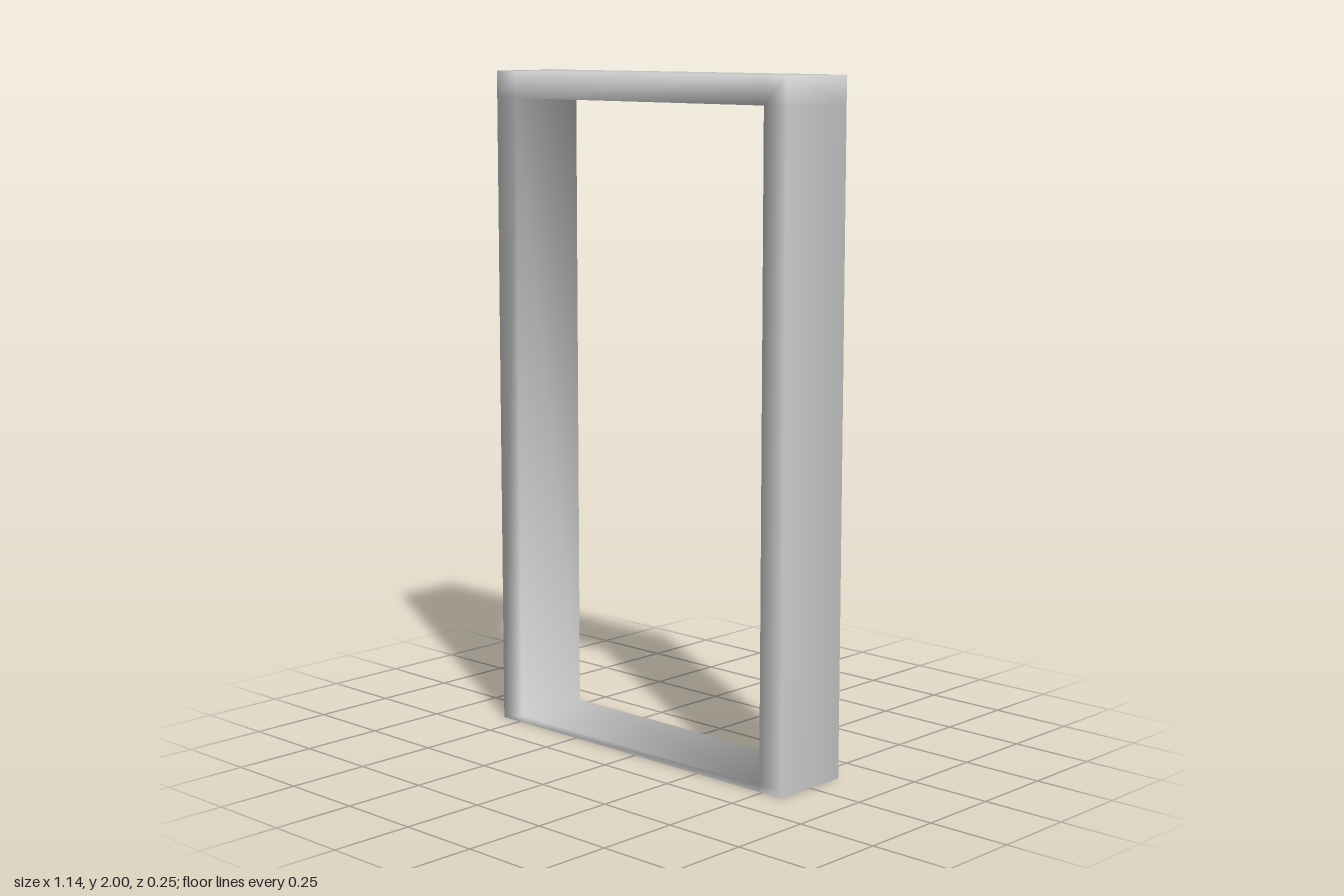
import * as THREE from 'three';

// Grid lines of the frame: jambs, header and thin sill surround the open middle cell
const LINES = [
  [-0.572, -0.49, 0.49, 0.572],
  [0, 0.02, 1.92, 2],
  [-0.125, 0.125],
];

const isSolid = ([i, j, k]) =>
  i >= 0 && i < 3 && j >= 0 && j < 3 && k === 0 && !(i === 1 && j === 1);

// Outer skin of the solid cells, with shared corners for soft normals
function frameGeometry() {
  const positions = [], index = [], ids = new Map();
  const vertex = (c) => {
    const key = c.join();
    if (!ids.has(key)) {
      ids.set(key, ids.size);
      positions.push(...c.map((n, axis) => LINES[axis][n]));
    }
    return ids.get(key);
  };
  for (let i = 0; i < 3; i++) for (let j = 0; j < 3; j++) {
    const cell = [i, j, 0];
    if (!isSolid(cell)) continue;
    for (let axis = 0; axis < 3; axis++) for (const side of [0, 1]) {
      const next = [...cell];
      next[axis] += side ? 1 : -1;
      const underside = axis === 1 && !side && j === 0;
      if (isSolid(next) || underside) continue;
      const u = (axis + 1) % 3, v = (axis + 2) % 3;
      const quad = [[0, 0], [1, 0], [1, 1], [0, 1]].map(([a, b]) => {
        const c = [...cell];
        c[axis] += side;
        c[u] += a;
        c[v] += b;
        return vertex(c);
      });
      if (!side) quad.reverse();
      const [a, b, c, d] = quad;
      index.push(a, b, c, a, c, d);
    }
  }
  const geometry = new THREE.BufferGeometry();
  geometry.setAttribute('position', new THREE.Float32BufferAttribute(positions, 3));
  geometry.setIndex(index);
  geometry.computeVertexNormals();
  return geometry;
}

export function createModel() {
  const group = new THREE.Group();
  group.name = 'doorFrame';
  const material = new THREE.MeshStandardMaterial({ color: 0xcccccc });

  // Jambs, header and sill in one continuous frame
  const frame = new THREE.Mesh(frameGeometry(), material);
  frame.name = 'frame';
  group.add(frame);

  // Flat underside, kept crisp against the soft sides
  const base = new THREE.Mesh(new THREE.PlaneGeometry(1.144, 0.25), material);
  base.name = 'underside';
  base.rotation.x = Math.PI / 2;
  group.add(base);

  return group;
}
